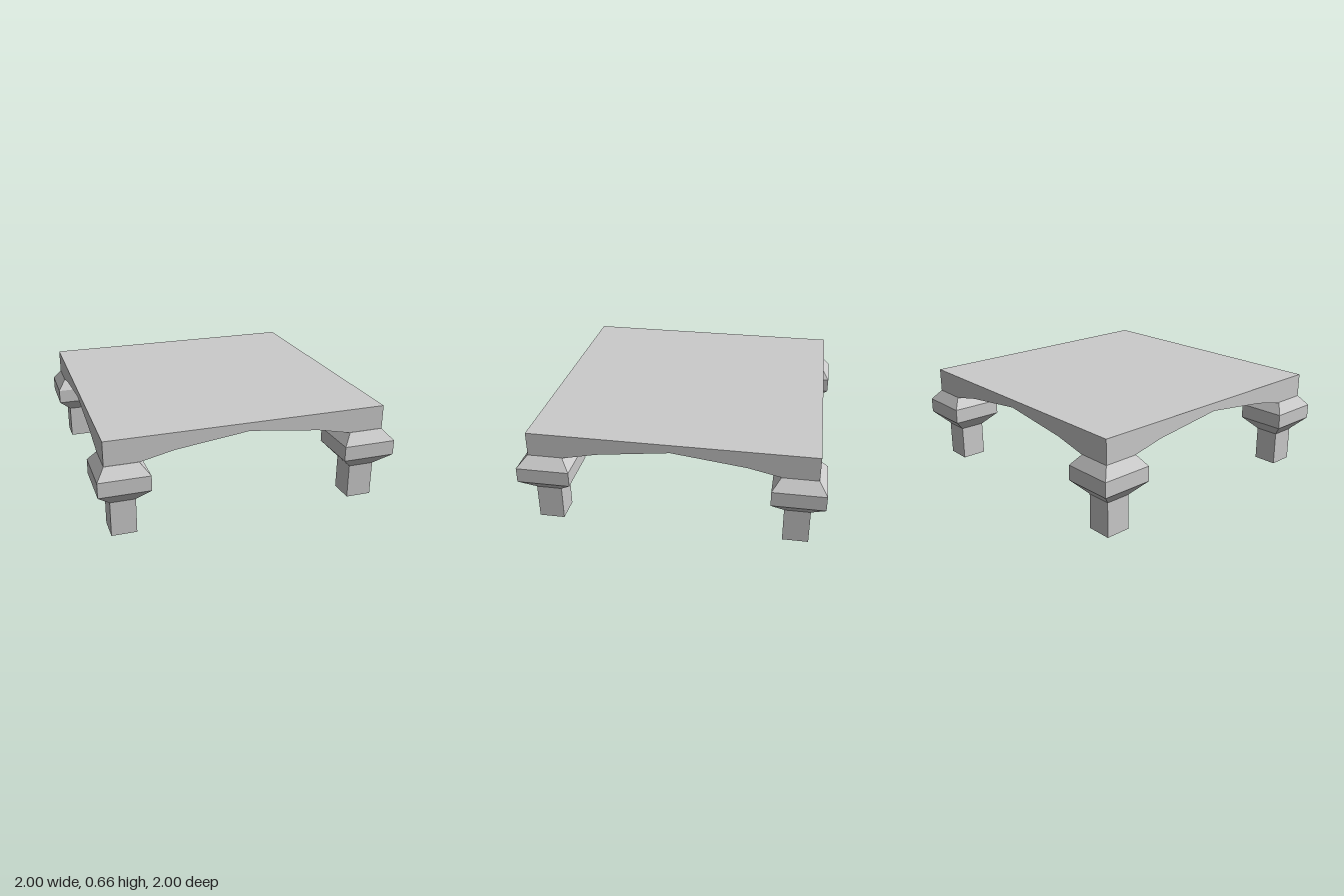
import * as THREE from 'three';

const material = new THREE.MeshStandardMaterial({ color: 0xcccccc, flatShading: true });

// Collects quads (counter-clockwise from outside) into a flat-shaded mesh
function quadMesh(name, quads) {
  const positions = quads.flatMap(([a, b, c, d]) => [a, b, c, a, c, d].flat());
  const geometry = new THREE.BufferGeometry();
  geometry.setAttribute('position', new THREE.Float32BufferAttribute(positions, 3));
  geometry.computeVertexNormals();
  const mesh = new THREE.Mesh(geometry, material);
  mesh.name = name;
  return mesh;
}

// Slab with flat top and an underside that arches up at the middle of each edge
function createSlab() {
  const TOP = 0.66;
  const grid = [-0.945, -0.725, -0.5, -0.01, 0.47, 0.7, 0.935];
  // Underside height by distance from the centre lines (0 = centre, 3 = rim)
  const heights = [
    [0.545, 0.545, 0.55, 0.605],
    [0.545, 0.545, 0.545, 0.545],
    [0.55, 0.545, 0.5, 0.495],
    [0.605, 0.545, 0.495, 0.495],
  ];
  const low = (i, j) => [grid[i], heights[Math.abs(i - 3)][Math.abs(j - 3)], grid[j]];
  const high = (i, j) => [grid[i], TOP, grid[j]];
  const quads = [[high(0, 6), high(6, 6), high(6, 0), high(0, 0)]];
  for (let i = 0; i < 6; i++) {
    // Underside, with diagonals mirrored so they point away from the centre
    for (let j = 0; j < 6; j++) {
      const q = [low(i, j), low(i + 1, j), low(i + 1, j + 1), low(i, j + 1)];
      quads.push((i < 3) === (j < 3) ? q : [q[1], q[2], q[3], q[0]]);
    }
    // Rim faces: front, back, left, right
    const wall = (i0, j0, i1, j1) =>
      quads.push([low(i0, j0), low(i1, j1), high(i1, j1), high(i0, j0)]);
    wall(i, 6, i + 1, 6);
    wall(i + 1, 0, i, 0);
    wall(6, i + 1, 6, i);
    wall(0, i, 0, i + 1);
  }
  return quadMesh('tableTop', quads);
}

// Square leg lofted through rectangular sections: post, flared collar, neck
function createLeg(name, xs, zs) {
  const sections = [[0, 'post'], [0.235, 'post'], [0.325, 'collar'], [0.425, 'collar'], [0.497, 'neck']];
  const rings = sections.map(([y, key]) => {
    const [x0, x1] = xs[key], [z0, z1] = zs[key];
    return [[x0, y, z1], [x1, y, z1], [x1, y, z0], [x0, y, z0]];
  });
  const quads = [[...rings[0]].reverse(), rings[rings.length - 1]];
  for (let r = 0; r < rings.length - 1; r++) {
    for (let k = 0; k < 4; k++) {
      const n = (k + 1) % 4;
      quads.push([rings[r][k], rings[r][n], rings[r + 1][n], rings[r + 1][k]]);
    }
  }
  return quadMesh(name, quads);
}

export function createModel() {
  const model = new THREE.Group();
  model.name = 'lowTable';
  model.add(createSlab());

  // Extents of the leg sections on each side
  const sidesX = {
    Right: { post: [-0.915, -0.75], collar: [-1, -0.667], neck: [-0.945, -0.725] },
    Left: { post: [0.73, 0.905], collar: [0.64, 1], neck: [0.7, 0.935] },
  };
  const sidesZ = {
    back: { post: [-0.91, -0.74], collar: [-1, -0.655], neck: [-0.945, -0.71] },
    front: { post: [0.74, 0.91], collar: [0.648, 1], neck: [0.705, 0.937] },
  };
  for (const [zName, zs] of Object.entries(sidesZ)) {
    for (const [xName, xs] of Object.entries(sidesX)) {
      model.add(createLeg(`${zName}${xName}Leg`, xs, zs));
    }
  }
  return model;
}
